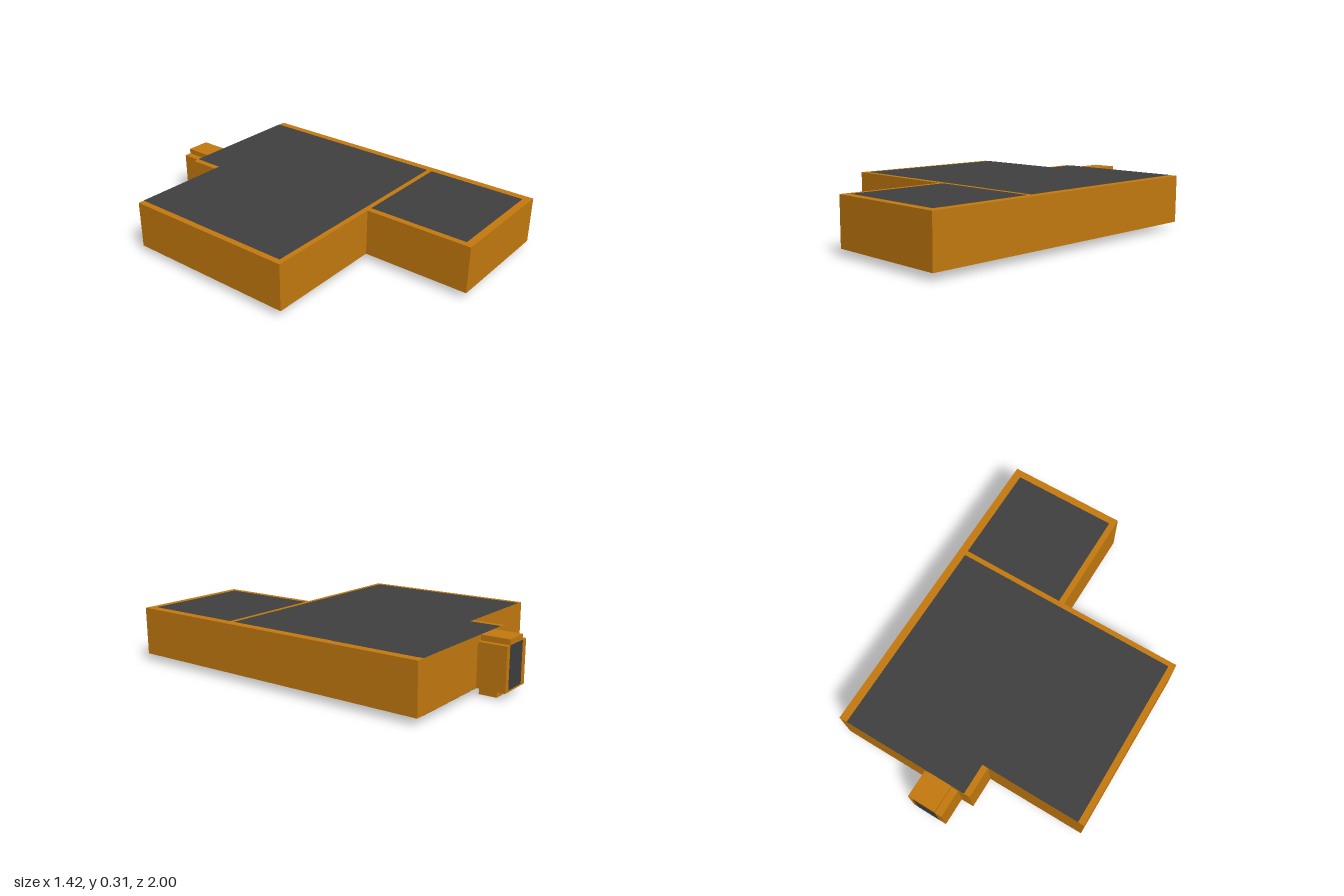
import * as THREE from 'three';

const BOTTOM = 0.04, TOP = 0.31, SKIN = 0.001;
const orange = new THREE.MeshStandardMaterial({ color: 0xc47a0f });
const dark = new THREE.MeshStandardMaterial({ color: 0x3f3f3f, side: THREE.DoubleSide });

// plan points are [x, z]; the shape is laid flat with +y up
const planShape = (pts) => new THREE.Shape(pts.map(([x, z]) => new THREE.Vector2(x, -z)));

export function createModel() {
  const group = new THREE.Group();
  group.name = 'building';

  const add = (name, geometry, material) => {
    const mesh = new THREE.Mesh(geometry, material);
    mesh.name = name;
    group.add(mesh);
    return mesh;
  };
  const box = (name, x0, x1, y0, y1, z0, z1) =>
    add(name, new THREE.BoxGeometry(x1 - x0, y1 - y0, z1 - z0), orange)
      .position.set((x0 + x1) / 2, (y0 + y1) / 2, (z0 + z1) / 2);
  const sheet = (name, pts, y) =>
    add(name, new THREE.ShapeGeometry(planShape(pts)).rotateX(-Math.PI / 2).translate(0, y, 0), dark);

  // inner areas, open to the back edge where the panels cover the walls
  const mainRoom = [[-0.675, 0.34], [0.663, 0.34], [0.663, -0.84], [-0.09, -0.84], [-0.09, -0.66], [-0.675, -0.66]];
  const frontRoom = [[0.045, 0.957], [0.663, 0.957], [0.663, 0.37], [0.045, 0.37]];
  const floorPlan = [[0.045, 0.957], [0.663, 0.957], [0.663, -0.84], [-0.09, -0.84], [-0.09, -0.66],
    [-0.675, -0.66], [-0.675, 0.34], [0.045, 0.34]];

  // outer walls and the dividing wall in one extrusion
  const walls = planShape([[-0.71, 0.37], [0.01, 0.37], [0.01, 1], [0.71, 1], [0.71, -0.84], [-0.125, -0.84],
    [-0.125, -0.66], [-0.71, -0.66]]);
  const mainHole = [[-0.675, 0.34], [0.663, 0.34], [0.663, -0.81], [-0.09, -0.81], [-0.09, -0.63], [-0.675, -0.63]];
  walls.holes.push(planShape(mainHole), planShape(frontRoom));
  add('walls', new THREE.ExtrudeGeometry(walls, { depth: TOP - BOTTOM, bevelEnabled: false })
    .rotateX(-Math.PI / 2).translate(0, BOTTOM, 0), orange);

  // flat roofs and floor
  sheet('mainRoof', mainRoom, TOP + SKIN);
  sheet('frontRoof', frontRoom, TOP + SKIN);
  sheet('floor', floorPlan, BOTTOM - SKIN);

  // rear porch: taller middle, two side posts, a step and a dark door
  box('porchMiddle', -0.01, 0.13, BOTTOM, TOP, -1, -0.84);
  box('porchPostRight', -0.05, -0.01, BOTTOM, 0.28, -1, -0.84);
  box('porchPostLeft', 0.13, 0.16, BOTTOM, 0.28, -1, -0.84);
  box('porchStep', -0.01, 0.13, 0, BOTTOM, -0.94, -0.84);
  add('door', new THREE.PlaneGeometry(0.14, 0.23).rotateY(Math.PI), dark)
    .position.set(0.06, 0.165, -1 - SKIN);

  return group;
}
